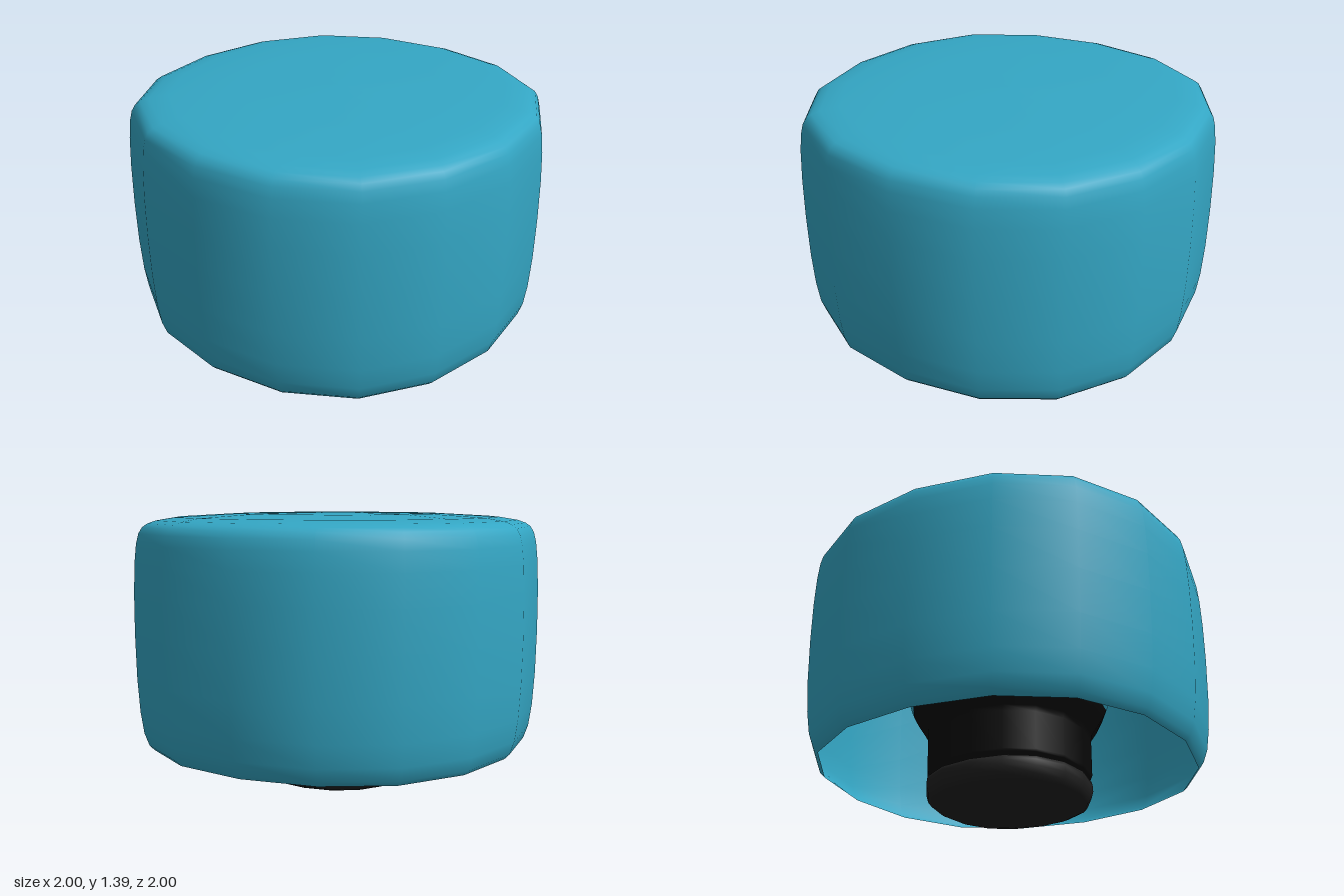
import * as THREE from 'three';

const SIDES = 16;

// Revolves a [radius, height] profile, with the sides eased toward a slightly square plan.
function turned(name, profile, color, side = THREE.FrontSide) {
  const points = profile.map(([r, y]) => new THREE.Vector2(r, y));
  const geometry = new THREE.LatheGeometry(points, SIDES);
  const pos = geometry.attributes.position;
  for (let i = 0; i < pos.count; i++) {
    const x = pos.getX(i), z = pos.getZ(i);
    const a = Math.atan2(z, x);
    const r = Math.hypot(x, z) * (1 + 0.036 * Math.sin(2 * a) ** 2);
    const b = a + 0.014 * Math.sin(4 * a);
    pos.setX(i, r * Math.cos(b));
    pos.setZ(i, r * Math.sin(b));
  }
  const mesh = new THREE.Mesh(geometry, new THREE.MeshStandardMaterial({ color, side }));
  mesh.name = name;
  return mesh;
}

export function createModel() {
  const group = new THREE.Group();
  group.name = 'capWithFoot';
  const blue = 0x34a7c5;

  // Thin open cap: rim, bulging wall, rounded shoulder, domed top
  group.add(turned('cap', [
    [0.92, 0.21], [0.945, 0.235], [0.968, 0.3], [0.984, 0.41], [0.995, 0.58], [1, 0.8],
    [0.999, 1], [0.993, 1.15], [0.984, 1.24], [0.972, 1.29], [0.955, 1.32],
    [0.93, 1.338], [0.89, 1.352], [0.8, 1.367], [0.5, 1.384], [0, 1.39],
  ], blue, THREE.DoubleSide));

  // Boss under the cap's top that carries the stem
  group.add(turned('boss', [
    [0.46, 0.51], [0.49, 0.54], [0.512, 0.61], [0.53, 0.72], [0.535, 1.38],
  ], blue));

  // Stem flaring up into the boss
  group.add(turned('stem', [
    [0.3, 0.16], [0.38, 0.162], [0.4, 0.17], [0.405, 0.182], [0.405, 0.37],
    [0.41, 0.4], [0.46, 0.48], [0.485, 0.53], [0.485, 0.65],
  ], 0x080808));

  // Rounded foot with a groove below the stem
  group.add(turned('foot', [
    [0, 0.004], [0.2, 0.01], [0.3, 0.018], [0.35, 0.028], [0.38, 0.042], [0.398, 0.065],
    [0.407, 0.1], [0.405, 0.132], [0.4, 0.15], [0.38, 0.158], [0.3, 0.16],
  ], 0x202020));

  return group;
}
